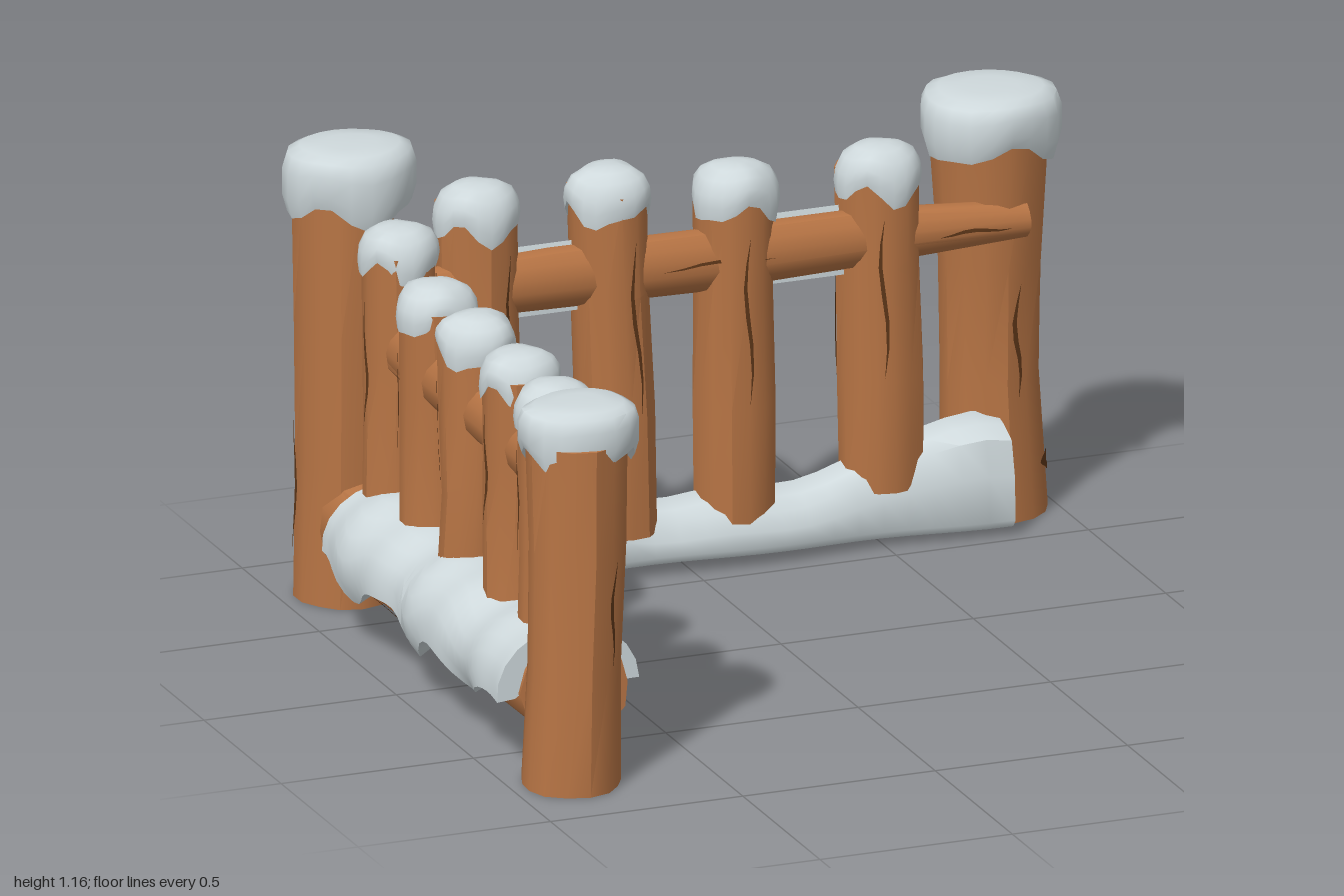
import * as THREE from 'three';
import { toCreasedNormals } from 'three/addons/utils/BufferGeometryUtils.js';

const wood = new THREE.MeshStandardMaterial({ color: 0xb87545 });
wood.name = 'warm wood';
const snow = new THREE.MeshStandardMaterial({ color: 0xcfd9dc });
snow.name = 'snow';
const bark = new THREE.MeshStandardMaterial({ color: 0x5e3719, side: THREE.DoubleSide });
bark.name = 'dark crack';

// Ring directions for each axis, ordered so faces point outwards
const X = new THREE.Vector3(1, 0, 0), Y = new THREE.Vector3(0, 1, 0), Z = new THREE.Vector3(0, 0, 1);
const AXES = { x: [Y, Z], y: [Z, X], z: [X, Y] };
const { lerp } = THREE.MathUtils;
const bump = (d, w) => Math.exp(-(d * d) / (w * w));

// Skin a closed surface through rows of n points each
function loft(rows, n, point, crease = 0.6) {
  const pos = [], idx = [];
  const first = new THREE.Vector3(), last = new THREE.Vector3();
  for (let i = 0; i < rows; i++) for (let j = 0; j < n; j++) {
    const p = point(i, j);
    pos.push(p.x, p.y, p.z);
    if (i === 0) first.addScaledVector(p, 1 / n);
    if (i === rows - 1) last.addScaledVector(p, 1 / n);
  }
  pos.push(first.x, first.y, first.z, last.x, last.y, last.z);
  for (let j = 0; j < n; j++) {
    const k = (j + 1) % n, e = (rows - 1) * n;
    for (let i = 0; i < rows - 1; i++) {
      const a = i * n + j, b = i * n + k;
      idx.push(a, b, b + n, a, b + n, a + n);
    }
    idx.push(rows * n, k, j, rows * n + 1, e + j, e + k);
  }
  const g = new THREE.BufferGeometry();
  g.setAttribute('position', new THREE.Float32BufferAttribute(pos, 3));
  g.setIndex(idx);
  return toCreasedNormals(g, crease);
}

function add(parent, name, geometry, material) {
  const m = new THREE.Mesh(geometry, material);
  m.name = name;
  parent.add(m);
}

// Log through sections [x, y, z, radius] or, for all, [.., radius, secondRadius]; returns its surface function
function log(parent, name, axis, sections, seed) {
  const [u, v] = AXES[axis], n = 14, last = sections.length - 1;
  const at = (t, a, lift = 0) => {
    const i = Math.min(Math.floor(t * last), last - 1), f = t * last - i;
    const s = sections[i].map((c, k) => lerp(c, sections[i + 1][k], f));
    const w = 1 + 0.035 * Math.sin(2 * a + seed) + 0.025 * Math.sin(5 * a + seed * 3 + t * 2);
    return new THREE.Vector3(s[0], s[1], s[2])
      .addScaledVector(u, Math.cos(a) * (s[3] * w + lift))
      .addScaledVector(v, Math.sin(a) * ((s[4] ?? s[3]) * w + lift));
  };
  add(parent, name, loft(last + 1, n, (i, j) => at(i / last, j / n * Math.PI * 2)), wood);
  return at;
}

// Thin tapered split lying on a log
function crack(parent, at, angle, t0, t1, width = 0.05) {
  const pos = [], idx = [], steps = 6;
  for (let i = 0; i <= steps; i++) {
    const f = i / steps, a = angle + 0.08 * Math.sin(f * 7 + angle);
    const w = width * (0.05 + Math.sin(f * Math.PI));
    for (const s of [-1, 1]) pos.push(...at(lerp(t0, t1, f), a + s * w, 0.004).toArray());
    if (i) idx.push(2 * i - 2, 2 * i - 1, 2 * i + 1, 2 * i - 2, 2 * i + 1, 2 * i);
  }
  const g = new THREE.BufferGeometry();
  g.setAttribute('position', new THREE.Float32BufferAttribute(pos, 3));
  g.setIndex(idx);
  g.computeVertexNormals();
  add(parent, 'woodCrack', g, bark);
}

// Snow cap: profile rows of [radius factor, height factor], with a dripping rim
const FLAT = [[0.8, 0.15], [0.93, 0], [1, 0.25], [1, 0.65], [0.93, 0.88], [0.75, 0.97], [0.4, 1]];
const DOME = [[0.8, 0.15], [0.96, 0], [1, 0.25], [0.97, 0.5], [0.82, 0.78], [0.55, 0.94], [0.25, 1]];
function cap(parent, profile, x, z, y0, y1, rx, rz, seed) {
  const n = 20;
  add(parent, 'snowCap', loft(profile.length, n, (i, j) => {
    const a = j / n * Math.PI * 2, [r, h] = profile[i];
    const drip = (1 - h) * 0.022 * (Math.sin(3 * a + seed) + 0.6 * Math.sin(5 * a + seed * 2));
    const w = r * (1 + 0.03 * Math.sin(3 * a + seed * 2));
    return new THREE.Vector3(x + Math.sin(a) * rx * w, lerp(y0, y1, h) - drip, z + Math.cos(a) * rz * w);
  }, 0.9), snow);
}

// Snow blanket wrapped round part of a log; section(f) gives centre, radii and arc
function blanket(parent, name, axis, rows, section) {
  const [u, v] = AXES[axis], m = 12;
  add(parent, name, loft(rows, 2 * m, (i, j) => {
    const s = section(i / (rows - 1)), outer = j < m;
    const f = outer ? j / (m - 1) : (2 * m - 1 - j) / (m - 1);
    const a = lerp(s.a0, s.a1, f), k = outer ? 1 : s.inner;
    return s.c.clone().addScaledVector(u, Math.cos(a) * s.ru * k).addScaledVector(v, Math.sin(a) * s.rv * k);
  }, 0.9), snow);
}

export function createModel() {
  const model = new THREE.Group();
  model.name = 'snowyCornerFence';
  const group = (name) => {
    const g = new THREE.Group();
    g.name = name;
    model.add(g);
    return g;
  };

  // Three big posts with flat snow caps
  const corner = group('cornerPost');
  let at = log(corner, 'post', 'y', [[-0.84, 0, -0.74, 0.125], [-0.84, 0.35, -0.735, 0.12], [-0.84, 0.7, -0.73, 0.125], [-0.845, 1.05, -0.735, 0.125]], 1);
  crack(corner, at, 3.6, 0.3, 0.7);
  crack(corner, at, 4.6, 0.1, 0.45);
  cap(corner, FLAT, -0.832, -0.718, 1.0, 1.16, 0.165, 0.143, 1);

  const front = group('frontPost');
  at = log(front, 'post', 'y', [[-0.845, 0, 0.745, 0.125], [-0.84, 0.3, 0.75, 0.117], [-0.83, 0.6, 0.745, 0.123], [-0.83, 0.88, 0.74, 0.13]], 2.2);
  crack(front, at, 0.5, 0.35, 0.65);
  crack(front, at, 1.7, 0.05, 0.45, 0.04);
  cap(front, FLAT, -0.822, 0.74, 0.835, 0.97, 0.15, 0.127, 3);

  const end = group('endPost');
  at = log(end, 'post', 'y', [[0.85, 0, -0.745, 0.13], [0.838, 0.35, -0.745, 0.12], [0.835, 0.65, -0.735, 0.125], [0.825, 1.0, -0.715, 0.145]], 0.4);
  crack(end, at, 0.2, 0.3, 0.62);
  crack(end, at, 1.6, 0.5, 0.85);
  crack(end, at, 0.95, 0.1, 0.15, 0.12);
  cap(end, FLAT, 0.824, -0.705, 0.95, 1.095, 0.172, 0.163, 5);

  // Back row: bottom x, top x, foot height, cap top
  const back = group('backFence');
  [[-0.525, -0.54, 0.17, 1.05], [-0.165, -0.2, 0.11, 1.05], [0.14, 0.13, 0.11, 1.015], [0.52, 0.505, 0.14, 1.015]].forEach(([xb, xt, y0, y1], i) => {
    const h = y1 - 0.06, p = (f) => lerp(y0, h, f);
    const s = log(back, 'picket', 'y', [[xb, y0, -0.645, 0.1], [lerp(xb, xt, 0.3), p(0.35), -0.64, 0.102], [lerp(xb, xt, 0.7), p(0.7), -0.64, 0.098], [xt, h, -0.635, 0.1]], i * 1.7);
    crack(back, s, 0.5 - i * 0.25, 0.35, 0.85);
    crack(back, s, 3.3 + i * 0.3, 0.2, 0.7);
    cap(back, DOME, xt, -0.625, y1 - 0.115, y1, 0.108, 0.098, i * 2 + 1);
  });
  at = log(back, 'rail', 'x', [[-0.78, 0.775, -0.62, 0.062, 0.055], [-0.35, 0.78, -0.62, 0.075, 0.058], [0.05, 0.775, -0.62, 0.077, 0.058], [0.45, 0.78, -0.62, 0.072, 0.058], [0.88, 0.775, -0.62, 0.045, 0.05]], 1.3);
  crack(back, at, 1.5, 0.42, 0.6, 0.05);
  crack(back, at, 1.6, 0.86, 0.97, 0.08);
  for (const [x0, x1] of [[-0.47, -0.27], [0.2, 0.44]]) {
    blanket(back, 'railSnow', 'x', 5, (f) => ({
      c: new THREE.Vector3(lerp(x0, x1, f), 0.778, -0.62), ru: 0.088, rv: 0.072, inner: 0.8,
      a0: Math.PI, a1: Math.PI * 1.9,
    }));
  }

  // Snow bank under the back row, flaring back towards both posts
  const bankRows = 25;
  add(back, 'snowBank', loft(bankRows, 10, (i, j) => {
    const x = lerp(-0.76, 0.82, i / (bankRows - 1));
    const h = 0.145 + 0.06 * bump(x + 0.7, 0.25) + 0.075 * bump(x + 0.4, 0.2) + 0.115 * bump(x - 0.72, 0.25) + 0.008 * Math.sin(x * 17);
    const rear = -0.745 - 0.13 * Math.pow(Math.abs(x), 3);
    const fz = -0.55 + 0.012 * Math.sin(x * 9) + 0.015 * bump(x - 0.7, 0.2);
    const base = 0.02 + 0.012 * bump(x, 0.4);
    const [y, z] = [
      [h + 0.025, -0.655], [h + 0.01, -0.6], [h - 0.015, fz - 0.02], [h * 0.6, fz], [base + 0.02, fz + 0.005],
      [base, fz - 0.01], [base, rear], [base + 0.02, rear - 0.005], [h * 0.55, rear + 0.025], [h, -0.705],
    ][j];
    return new THREE.Vector3(x, y, z);
  }, 0.8), snow);

  // Side row: z, cap top
  const side = group('sideFence');
  [[0.505, 0.94], [0.27, 0.945], [0, 0.95], [-0.265, 0.945], [-0.51, 1.01]].forEach(([z, y1], i) => {
    const h = y1 - 0.06, sway = 0.012 * Math.sin(i * 2.3);
    const s = log(side, 'picket', 'y', [[-0.79, 0.25, z + sway, 0.094], [-0.79, 0.5, z - sway, 0.088], [-0.785, 0.68, z, 0.094], [-0.79, h, z + sway / 2, 0.092]], i * 2.1 + 0.6);
    crack(side, s, 1.45 + 0.15 * Math.sin(i * 3), 0.3, 0.95, 0.055);
    crack(side, s, 4.6 + 0.3 * Math.sin(i * 2), 0.35, 0.85);
    cap(side, DOME, -0.79, z, y1 - 0.105, y1, 0.1, 0.097, i * 1.9);
  });
  at = log(side, 'rail', 'z', [[-0.785, 0.71, -0.66, 0.06, 0.08], [-0.785, 0.71, -0.3, 0.066, 0.082], [-0.785, 0.715, 0.1, 0.064, 0.078], [-0.785, 0.715, 0.4, 0.066, 0.082], [-0.785, 0.725, 0.7, 0.066, 0.085]], 0.8);
  crack(side, at, 0.1, 0.15, 0.4);
  at = log(side, 'bottomLog', 'z', [[-0.8, 0.195, -0.66, 0.135], [-0.8, 0.195, -0.2, 0.135], [-0.8, 0.2, 0.25, 0.138], [-0.795, 0.2, 0.645, 0.138]], 2.7);
  crack(side, at, -0.35, 0.5, 0.95, 0.03);
  crack(side, at, -0.6, 0.15, 0.6, 0.03);
  crack(side, at, 3.7, 0.2, 0.7, 0.03);

  // Snow lying over the bottom log with drips on both flanks
  blanket(side, 'logSnow', 'z', 41, (f) => {
    const z = lerp(-0.55, 0.635, f);
    const wave = 0.008 * Math.sin(z * 13) + 0.005 * Math.sin(z * 29 + 1);
    return {
      c: new THREE.Vector3(-0.808, 0.2, z), ru: 0.175 + wave, rv: 0.15 + wave, inner: 0.75,
      a0: -0.02 - 0.65 * bump(z + 0.07, 0.065) - 0.62 * bump(z + 0.31, 0.075) + 0.06 * Math.sin(z * 11),
      a1: Math.PI + 0.1 + 0.55 * bump(z - 0.35, 0.09) + 0.6 * bump(z - 0.02, 0.07) + 0.5 * bump(z + 0.36, 0.08),
    };
  });
  return model;
}
